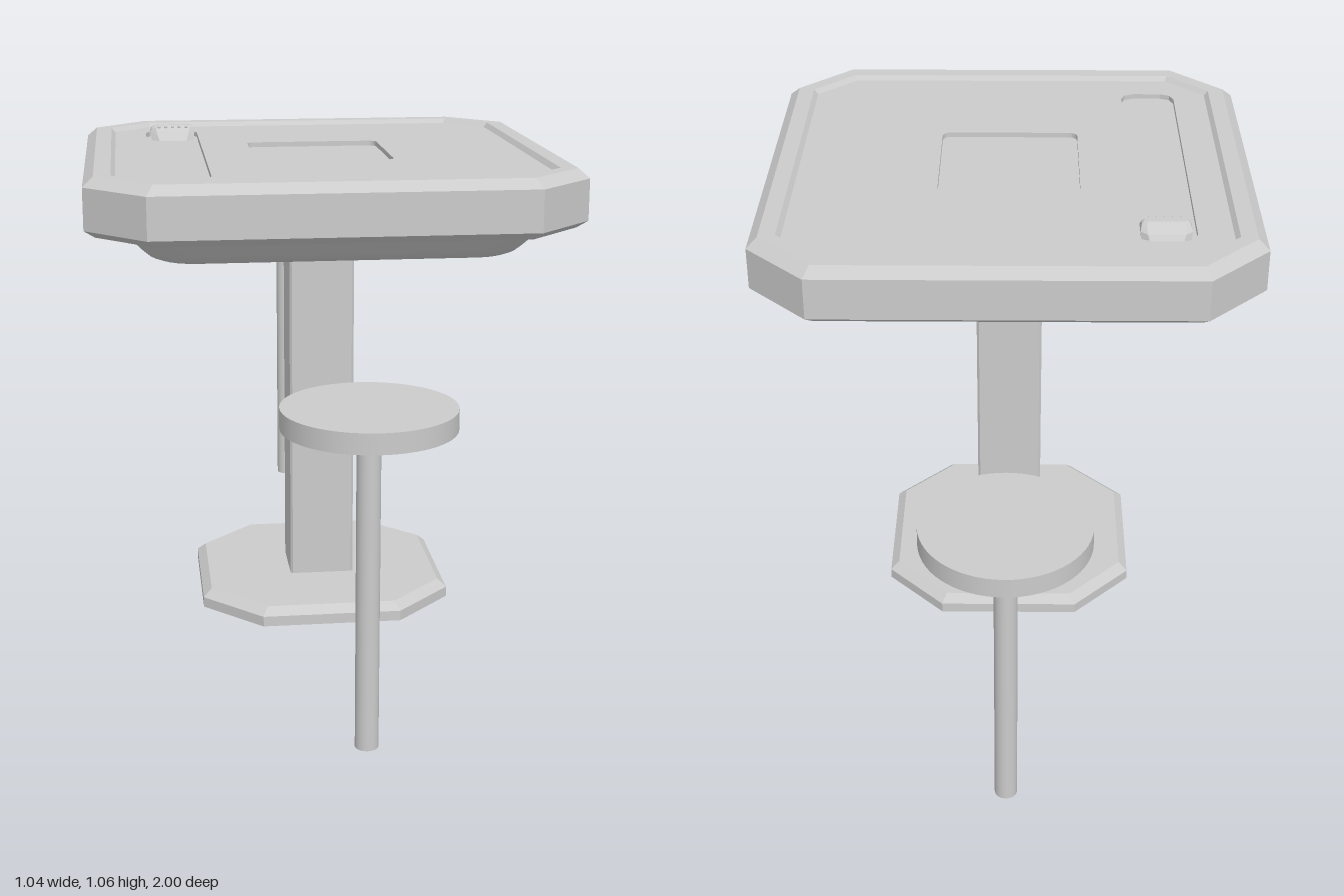
import * as THREE from 'three';
import { toCreasedNormals } from 'three/addons/utils/BufferGeometryUtils.js';

const grey = new THREE.MeshStandardMaterial({ color: 0xcccccc });

// Rectangle outline with cut (n = 1) or rounded (n > 1) corners
function outline(hx, hz, r, n = 1, cx = 0, cz = 0) {
  const pts = [];
  for (let k = 0; k < 4; k++) {
    const sx = k === 0 || k === 3 ? 1 : -1, sz = k < 2 ? 1 : -1;
    for (let i = 0; i <= n; i++) {
      const a = (k + i / n) * Math.PI / 2;
      pts.push(new THREE.Vector2(
        cx + sx * (hx - r) + r * Math.cos(a),
        cz + sz * (hz - r) + r * Math.sin(a)));
    }
  }
  return pts;
}

// Skin a list of { y, pts } rings and close both ends
function loft(rings, crease = 0.3) {
  const pos = [], idx = [], n = rings[0].pts.length;
  for (const { y, pts } of rings) for (const p of pts) pos.push(p.x, y, p.y);
  for (let j = 0; j < rings.length - 1; j++) {
    for (let i = 0; i < n; i++) {
      const a = j * n + i, b = j * n + (i + 1) % n;
      idx.push(a, a + n, b + n, a, b + n, b);
    }
  }
  const last = (rings.length - 1) * n;
  for (let i = 1; i < n - 1; i++) {
    idx.push(0, i, i + 1);
    idx.push(last, last + i + 1, last + i);
  }
  const g = new THREE.BufferGeometry();
  g.setAttribute('position', new THREE.Float32BufferAttribute(pos, 3));
  g.setIndex(idx);
  return toCreasedNormals(g, crease);
}

// Square loft from [halfWidth, cornerCut, y] rows
const squareLoft = (rows, n, crease) =>
  loft(rows.map(([h, r, y]) => ({ y, pts: outline(h, h, r, n) })), crease);

export function createModel() {
  const model = new THREE.Group();
  const add = (name, geometry, parent = model) => {
    const m = new THREE.Mesh(geometry, grey);
    m.name = name;
    parent.add(m);
    return m;
  };

  // Foot and column
  add('base', squareLoft([[0.281, 0.127, 0.014], [0.281, 0.127, 0.037], [0.262, 0.119, 0.054]]));
  add('column', squareLoft([[0.073, 0.005, 0.05], [0.073, 0.005, 0.895]]));

  // Tapered underside with a square recess around the column
  add('underside', squareLoft([
    [0.305, 0.015, 0.89], [0.305, 0.015, 0.86], [0.37, 0.08, 0.86],
    [0.386, 0.09, 0.867], [0.401, 0.1, 0.88], [0.443, 0.12, 0.925],
  ], 6, 0.75));

  // Bevelled eight-sided frame with a raised rim
  add('tableFrame', squareLoft([
    [0.496, 0.116, 0.921], [0.518, 0.125, 0.937], [0.518, 0.125, 1.025],
    [0.496, 0.116, 1.045], [0.461, 0.09, 1.045], [0.452, 0.086, 1.035], [0.452, 0.086, 1.024],
  ]));

  // Playing surface with a centre well and a side tray
  const top = new THREE.Shape(outline(0.452, 0.452, 0.086));
  top.holes.push(new THREE.Path(outline(0.15, 0.15, 0.018, 4)));
  top.holes.push(new THREE.Path(outline(0.061, 0.373, 0.03, 2, -0.318)));
  const surface = new THREE.ExtrudeGeometry(top, { depth: 0.013, bevelEnabled: false });
  add('playingSurface', surface.rotateX(-Math.PI / 2).translate(0, 1.022, 0));

  // Small wedge-shaped control at the back of the tray
  const control = new THREE.Group();
  control.name = 'control';
  model.add(control);
  add('controlBody', loft([
    { y: 1.024, pts: outline(0.05, 0.047, 0.018, 1, -0.316, -0.324) },
    { y: 1.042, pts: outline(0.052, 0.032, 0.014, 1, -0.316, -0.326) },
    { y: 1.052, pts: outline(0.049, 0.018, 0.01, 1, -0.316, -0.322) },
    { y: 1.057, pts: outline(0.043, 0.009, 0.006, 1, -0.316, -0.32) },
  ]), control);
  for (const [y, z] of [[1.053, -0.306], [1.0505, -0.334]]) {
    for (let i = -2; i <= 2; i++) {
      add('controlButton', new THREE.SphereGeometry(0.004, 10, 6), control)
        .position.set(-0.316 + i * 0.016, y, z);
    }
  }

  // A round stool at the front and at the back
  for (const [side, s] of [['front', 1], ['back', -1]]) {
    const stool = new THREE.Group();
    stool.name = side + 'Stool';
    stool.position.z = s * 0.835;
    add('stoolSeat', new THREE.CylinderGeometry(0.165, 0.165, 0.04, 64), stool).position.y = 0.664;
    add('stoolPost', new THREE.CylinderGeometry(0.023, 0.023, 0.65, 32), stool).position.y = 0.325;
    model.add(stool);
  }
  return model;
}
